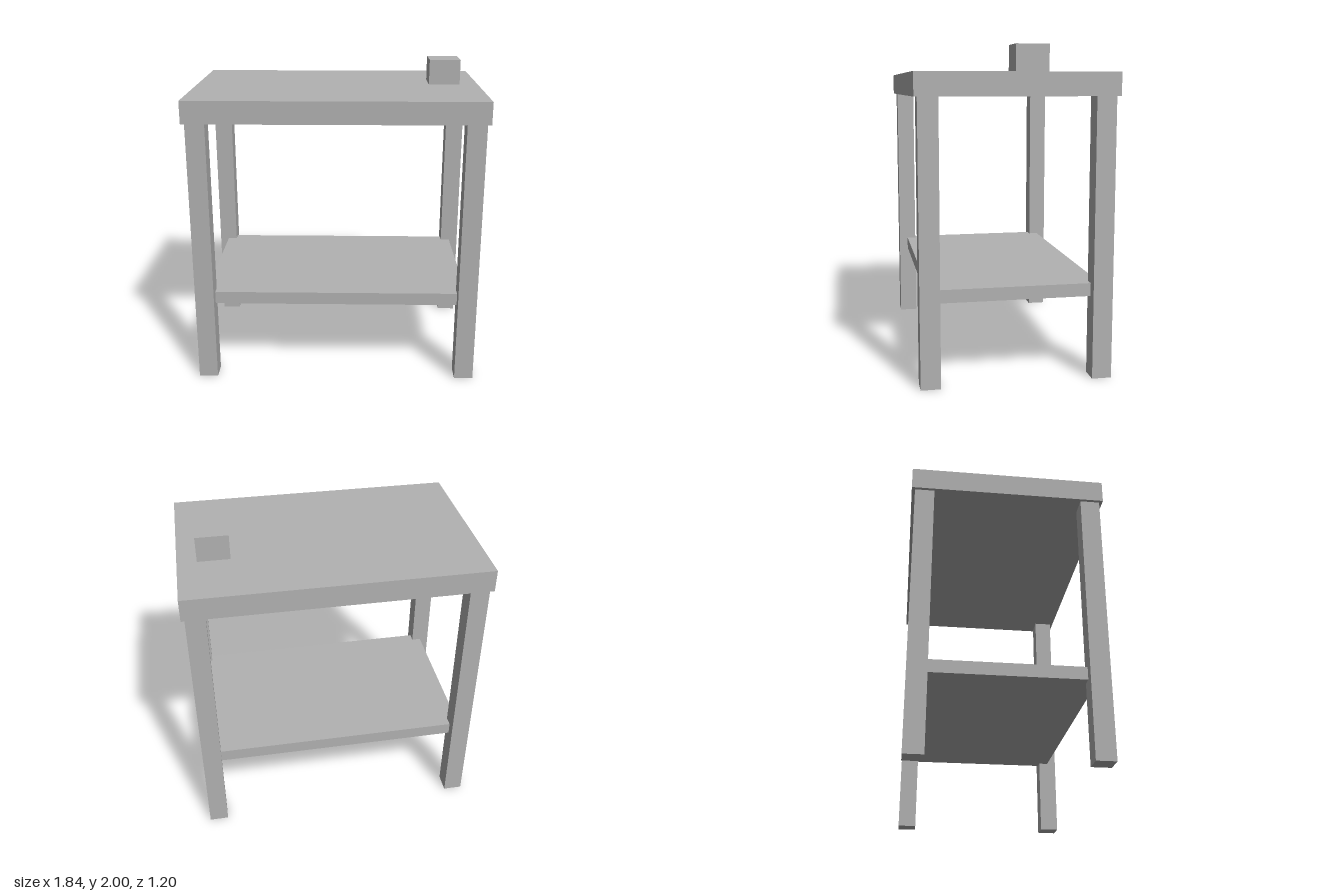
import * as THREE from 'three';

export function createModel() {
  const model = new THREE.Group();
  model.name = 'sideTable';

  const grey = new THREE.MeshStandardMaterial({ color: 0xb2b2b2 });
  grey.name = 'grey';

  // Adds a box centred at x, z with its underside at y
  function addBox(name, [width, height, depth], [x, y, z]) {
    const mesh = new THREE.Mesh(new THREE.BoxGeometry(width, height, depth), grey);
    mesh.name = name;
    mesh.position.set(x, y + height / 2, z);
    model.add(mesh);
  }

  // Table top and the lower shelf, whose corners sit inside the legs
  addBox('tableTop', [1.84, 0.14, 1.2], [0, 1.7, 0]);
  addBox('shelf', [1.68, 0.08, 1.04], [0, 0.5, 0]);

  // Four square legs
  for (const [side, x] of [['Left', 0.84], ['Right', -0.84]]) {
    for (const [end, z] of [['front', 0.52], ['back', -0.52]]) {
      addBox(`${end}${side}Leg`, [0.12, 1.7, 0.12], [x, 0, z]);
    }
  }

  // Small block resting on the top
  addBox('block', [0.2, 0.16, 0.2], [0.7, 1.84, -0.1]);

  return model;
}
